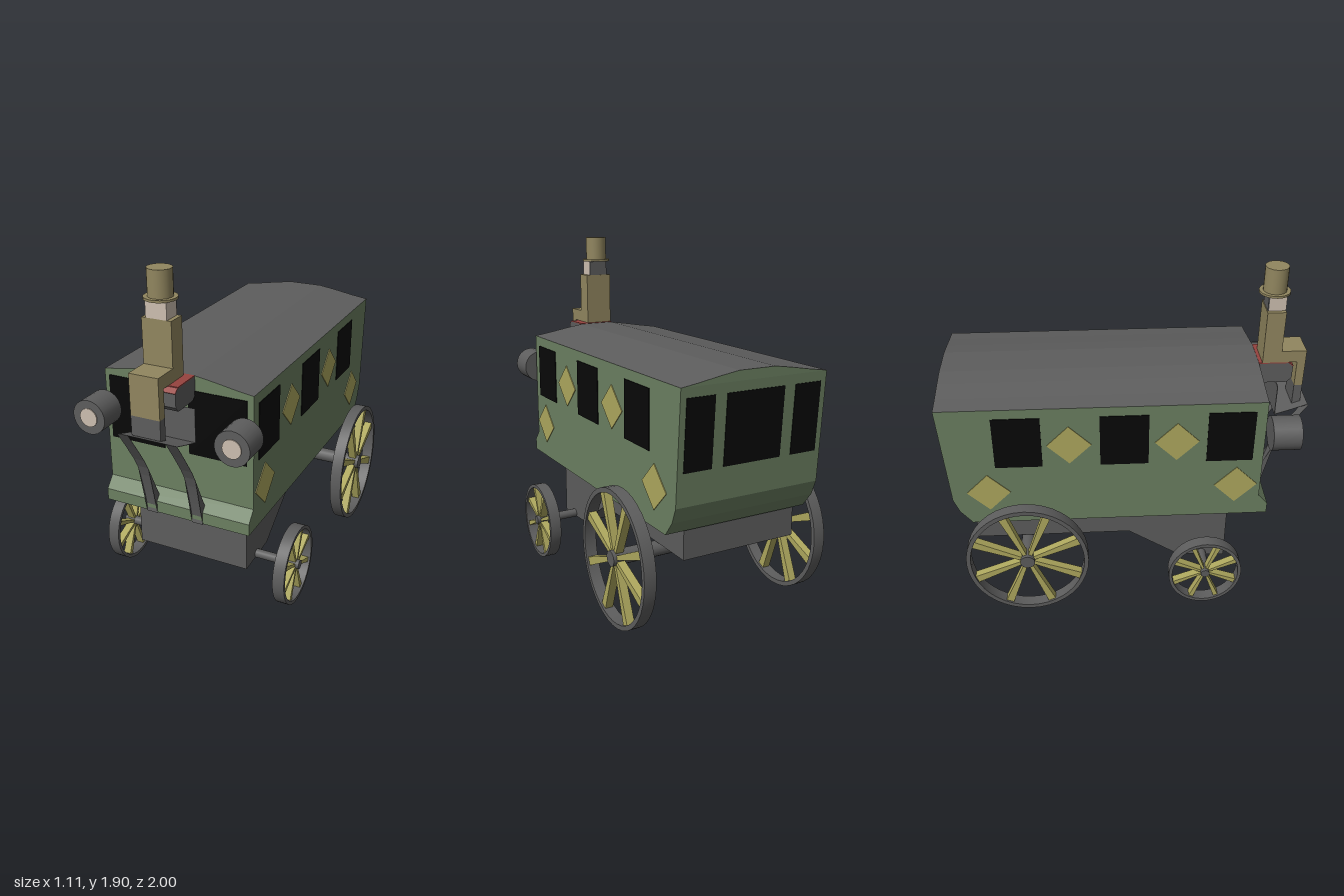
import * as THREE from 'three';
import { toCreasedNormals } from 'three/addons/utils/BufferGeometryUtils.js';

const mat = (name, color, side = THREE.FrontSide) => {
  const m = new THREE.MeshStandardMaterial({ color, side });
  m.name = name;
  return m;
};

export function createModel() {
  const root = new THREE.Group();
  const green = mat('body green', 0x6b7f61);
  const gray = mat('iron gray', 0x5d5d5d, THREE.DoubleSide);
  const yellow = mat('paint yellow', 0xaea85e);
  const black = mat('window black', 0x080808);
  const olive = mat('coat olive', 0x91865f);
  const cream = mat('cream', 0xcdbfb0);
  const red = mat('cushion red', 0x96433f);

  const add = (name, geo, material, parent = root) => {
    const m = new THREE.Mesh(geo, material);
    m.name = name;
    parent.add(m);
    return m;
  };
  // box given by its limits
  const box = (name, material, x0, x1, y0, y1, z0, z1) => {
    const g = new THREE.BoxGeometry(x1 - x0, y1 - y0, z1 - z0);
    g.translate((x0 + x1) / 2, (y0 + y1) / 2, (z0 + z1) / 2);
    return add(name, g, material);
  };
  const toShape = (pts) => new THREE.Shape(pts.map(([a, b]) => new THREE.Vector2(a, b)));
  // side outline of [z, y] points, extruded from x0 to x1
  const extrudeX = (shape, x0, x1) =>
    new THREE.ExtrudeGeometry(shape, { depth: x1 - x0, bevelEnabled: false, curveSegments: 20 })
      .rotateY(-Math.PI / 2).translate(x1, 0, 0);

  // coach body
  const X0 = -0.43, X1 = 0.405, MID = (X0 + X1) / 2;
  add('body', extrudeX(toShape([
    [0.77, 0.58], [0.77, 0.645], [0.717, 0.705], [0.717, 1.32],
    [-1, 1.32], [-0.963, 0.74], [-0.932, 0.66], [-0.87, 0.58],
  ]), X0, X1), green);

  // arched roof: green gables, gray top
  const arch = [[X0, 1.32], [X1, 1.32], [0.31, 1.334], [0.19, 1.355], [0.09, 1.37],
    [-0.115, 1.37], [-0.215, 1.355], [-0.335, 1.334]];
  const roof = new THREE.ExtrudeGeometry(toShape(arch), { depth: 1.717, bevelEnabled: false });
  add('roof', roof.translate(0, 0, -1), [green, gray]);

  // chassis
  add('chassis', extrudeX(toShape([
    [0.56, 0.58], [0.56, 0.21], [0.29, 0.225], [0, 0.42], [-0.86, 0.42], [-0.86, 0.58],
  ]), -0.37, 0.295), gray);

  // side windows and painted diamonds
  for (const x of [X0, X1]) {
    for (const [z0, z1] of [[0.41, 0.66], [-0.157, 0.1], [-0.716, -0.464]])
      box('sideWindow', black, x - 0.004, x + 0.004, 0.957, 1.265, z0, z1);
    for (const [z, y] of [[0.25, 1.09], [-0.32, 1.09], [0.58, 0.79], [-0.764, 0.79]]) {
      const d = add('diamond', new THREE.BoxGeometry(0.008, 0.167, 0.167), yellow);
      d.position.set(x, y, z);
      d.rotation.x = Math.PI / 4;
    }
  }
  // front and back windows
  box('frontWindow', black, -0.405, -0.09, 0.94, 1.29, 0.713, 0.721);
  box('frontWindow', black, 0.05, 0.37, 0.94, 1.29, 0.713, 0.721);
  for (const [x, w] of [[-0.32, 0.155], [MID, 0.33], [0.295, 0.155]]) {
    const win = add('backWindow', new THREE.BoxGeometry(w, 0.36, 0.008), black);
    win.position.set(x, 1.09, -0.985);
    win.rotation.x = -0.064;
  }

  // spoked wheels
  const makeWheel = (name, r, rim, hub, x, y, z) => {
    const wheel = new THREE.Group();
    wheel.name = name;
    const ring = new THREE.Shape().absarc(0, 0, r, 0, Math.PI * 2, false);
    ring.holes.push(new THREE.Path().absarc(0, 0, r - rim, 0, Math.PI * 2, true));
    add('rim', toCreasedNormals(extrudeX(ring, -0.033, 0.033), 0.6), gray, wheel);
    const inner = r * 0.03, outer = r * 0.065, end = r - rim * 0.6;
    for (let i = 0; i < 8; i++) {
      const spoke = add('spoke', extrudeX(toShape([
        [-inner, hub * 0.8], [inner, hub * 0.8], [outer, end], [-outer, end],
      ]), -0.022, 0.022), yellow, wheel);
      spoke.rotation.x = (i + 0.5) * Math.PI / 4;
    }
    wheel.position.set(x, y, z);
    wheel.scale.z = 0.93;
    root.add(wheel);
  };
  for (const s of [-1, 1]) {
    makeWheel('frontWheel', 0.224, 0.02, 0.026, s * 0.512, 0.23, 0.428);
    makeWheel('rearWheel', 0.367, 0.026, 0.04, s * 0.512, 0.373, -0.577);
  }
  for (const [name, r, y, z] of [['frontAxle', 0.025, 0.235, 0.428], ['rearAxle', 0.041, 0.376, -0.577]]) {
    const axle = add(name, new THREE.CylinderGeometry(r, r, 1.105, 16).rotateZ(Math.PI / 2), gray);
    axle.position.set(0, y, z);
  }

  // lamps
  for (const x of [-0.42, 0.375]) {
    const lamp = add('lamp', new THREE.CylinderGeometry(0.093, 0.093, 0.152, 24).rotateX(Math.PI / 2), gray);
    lamp.position.set(x, 1.12, 0.819);
    const lens = add('lampLens', new THREE.CylinderGeometry(0.05, 0.05, 0.006, 24).rotateX(Math.PI / 2), cream);
    lens.position.set(x, 1.12, 0.897);
  }

  // driver's seat with red cushion
  add('seat', extrudeX(toShape([
    [0.715, 1.27], [0.74, 1.248], [0.88, 1.248], [0.905, 1.275], [0.905, 1.345], [0.88, 1.366], [0.715, 1.366],
  ]), -0.12, 0.09), gray);
  box('cushion', red, -0.12, 0.09, 1.366, 1.372, 0.717, 0.88);
  const edge = add('cushionEdge', new THREE.BoxGeometry(0.21, 0.005, 0.032), red);
  edge.position.set(-0.015, 1.357, 0.894);
  edge.rotation.x = 0.7;

  // ribbon following [z, y] points, for sheet-metal parts
  const ribbon = (name, pts, x0, x1) => {
    const t = 0.003;
    const back = pts.map(([z, y]) => [z - t, y - t]).reverse();
    add(name, extrudeX(toShape([...pts, ...back]), x0, x1), gray);
  };
  ribbon('footboard', [[0.823, 1.25], [0.823, 1.07], [0.9, 1.095], [1, 1.13]], -0.172, 0.145);
  const curve = new THREE.SplineCurve([[1, 1.13], [0.92, 1.01], [0.84, 0.875], [0.795, 0.73], [0.768, 0.61]]
    .map(([z, y]) => new THREE.Vector2(z, y)));
  const bracket = curve.getPoints(10).map((p) => [p.x, p.y]);
  for (const x of [-0.185, 0.083])
    ribbon('footboardBracket', [...bracket, [0.773, 0.577], [0.7, 0.576]], x, x + 0.062);

  // driver: coat and legs in one folded outline
  const DX = -0.04;
  add('driverBody', extrudeX(toShape([
    [0.735, 1.372], [0.735, 1.672], [0.835, 1.672], [0.835, 1.44],
    [0.97, 1.44], [0.97, 1.225], [0.924, 1.225], [0.924, 1.372],
  ]), DX - 0.08, DX + 0.08), olive);
  add('boots', extrudeX(toShape([
    [0.97, 1.225], [0.97, 1.121], [0.924, 1.105], [0.924, 1.225],
  ]), DX - 0.08, DX + 0.08), gray);
  box('head', cream, DX - 0.057, DX + 0.057, 1.672, 1.755, 0.745, 0.835);
  box('hair', gray, DX - 0.057, DX + 0.057, 1.672, 1.755, 0.739, 0.745);

  // top hat
  const brim = add('hatBrim', new THREE.CylinderGeometry(0.083, 0.083, 0.012, 24), olive);
  brim.position.set(DX - 0.005, 1.763, 0.778);
  const crown = add('hatCrown', new THREE.CylinderGeometry(0.062, 0.062, 0.14, 24), olive);
  crown.position.set(DX - 0.005, 1.835, 0.778);

  return root;
}
